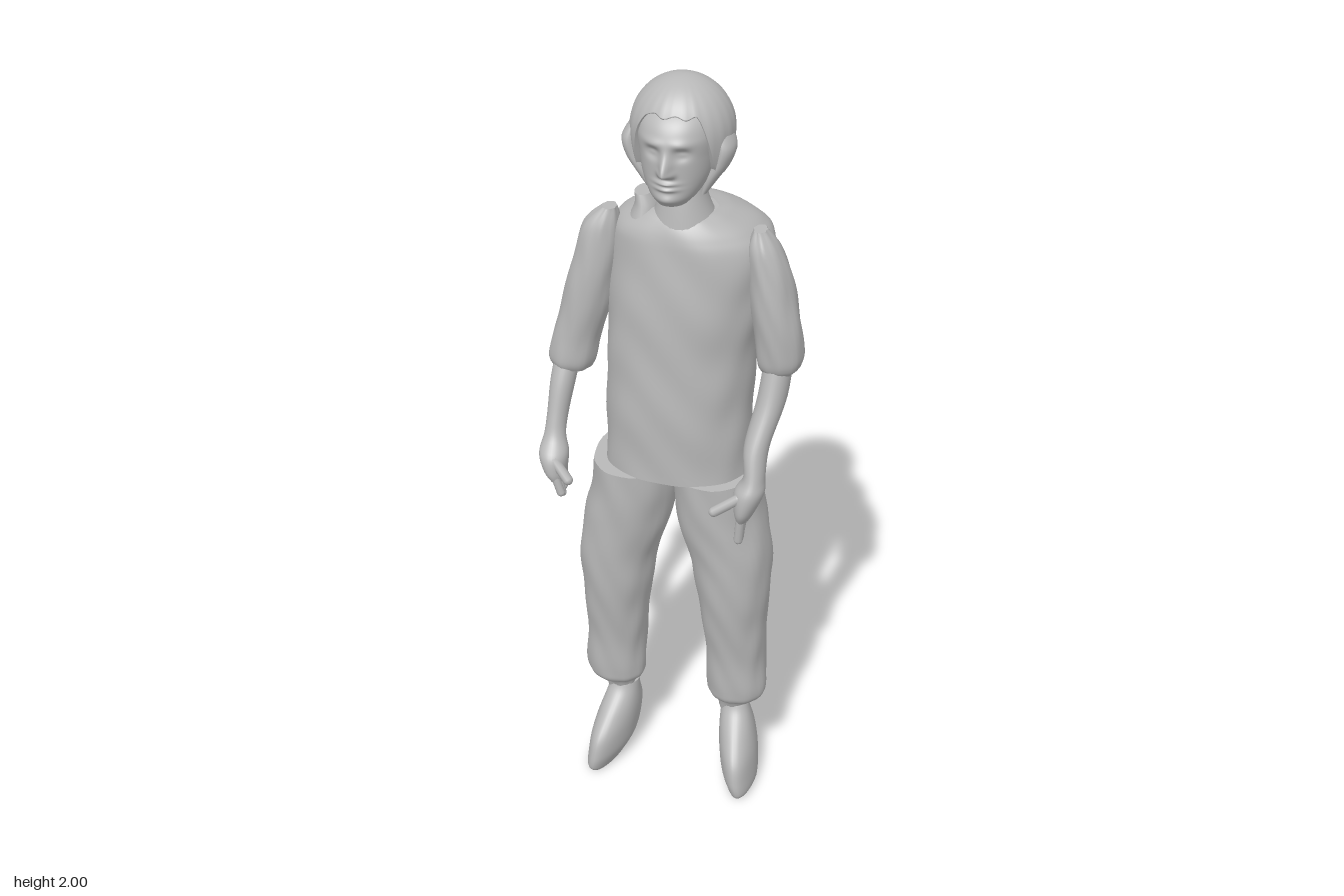
import * as THREE from 'three';

const clay = new THREE.MeshStandardMaterial({ color: 0xb8b8b8, side: THREE.DoubleSide });
clay.name = 'plain grey';

// Catmull-Rom blend of neighbouring section rows
function rowAt(rows, u) {
  const n = rows.length - 1, i = Math.min(Math.floor(u * n), n - 1), f = u * n - i;
  const [a, b, c, d] = [i - 1, i, i + 1, i + 2].map(k => rows[Math.max(0, Math.min(n, k))]);
  return b.map((q, k) => q + 0.5 * f * (c[k] - a[k] +
    f * (2 * a[k] - 5 * q + 4 * c[k] - d[k] + f * (3 * (q - c[k]) + d[k] - a[k]))));
}

// Grid of points closed around, open along; optional flat caps
function skin(name, steps, seg, point, caps) {
  const pos = [], idx = [];
  for (let i = 0; i <= steps; i++)
    for (let j = 0; j < seg; j++) pos.push(...point(i / steps, j / seg * Math.PI * 2));
  for (let i = 0; i < steps; i++)
    for (let j = 0; j < seg; j++) {
      const k = (j + 1) % seg, a = i * seg + j, b = a + seg, c = (i + 1) * seg + k, d = i * seg + k;
      idx.push(a, b, c, a, c, d);
    }
  if (caps) for (const end of [0, 1]) {
    const base = pos.length / 3, mid = [0, 0, 0];
    for (let j = 0; j < seg; j++) {
      const p = point(end, j / seg * Math.PI * 2);
      pos.push(...p);
      p.forEach((q, k) => { mid[k] += q / seg; });
    }
    pos.push(...mid);
    for (let j = 0; j < seg; j++) {
      const a = base + j, b = base + (j + 1) % seg;
      idx.push(base + seg, end ? b : a, end ? a : b);
    }
  }
  const g = new THREE.BufferGeometry();
  g.setAttribute('position', new THREE.Float32BufferAttribute(pos, 3));
  g.setIndex(idx);
  g.computeVertexNormals();
  const mesh = new THREE.Mesh(g, clay);
  mesh.name = name;
  return mesh;
}

// Loft from rows of [y, xMin, xMax, zMin, zMax], listed top to bottom
function loft(name, rows, { steps = 32, seg = 32, power = 1, warp } = {}) {
  const bend = v => Math.sign(v) * Math.abs(v) ** power;
  return skin(name, steps, seg, (u, t) => {
    const [y, x0, x1, z0, z1] = rowAt(rows, u);
    const p = [(x0 + x1) / 2 + bend(Math.sin(t)) * (x1 - x0) / 2, y,
      (z0 + z1) / 2 + bend(Math.cos(t)) * (z1 - z0) / 2];
    return warp ? warp(p, t) : p;
  }, true);
}

const mirror = (rows, dx = 0) => rows.map(([y, a, b, c, d]) => [y, dx - b, dx - a, c, d]);

// Soft folds in the cloth
const folds = ([x, y, z], t) => {
  const w = 0.0025 * Math.sin(y * 31 + 2 * Math.sin(t * 3)) * Math.sin(t * 4 + y * 9);
  return [x + w * Math.sin(t), y, z + w * Math.cos(t)];
};

function digit(name, from, to, r) {
  const a = new THREE.Vector3(...from), b = new THREE.Vector3(...to), d = b.clone().sub(a);
  const m = new THREE.Mesh(new THREE.CapsuleGeometry(r, d.length() - r, 5, 10), clay);
  m.position.copy(a).add(b).multiplyScalar(0.5);
  m.quaternion.setFromUnitVectors(new THREE.Vector3(0, 1, 0), d.normalize());
  m.name = name;
  return m;
}

const bump = (v, c, w) => Math.exp(-(((v - c) / w) ** 2));

// Nose, eye sockets, lips and chin pushed out of the head surface
function face([x, y, z]) {
  const s = Math.abs(x - 0.02), front = THREE.MathUtils.smoothstep(z, 0.08, 0.13);
  const noseLine = y > 1.817 ? bump(y, 1.817, 0.036) : bump(y, 1.817, 0.012);
  const push = 0.036 * noseLine * bump(s, 0, 0.013)
    + 0.008 * bump(y, 1.811, 0.009) * bump(s, 0.014, 0.008)
    - 0.014 * bump(y, 1.857, 0.013) * bump(s, 0.034, 0.017)
    + 0.006 * bump(y, 1.856, 0.007) * bump(s, 0.034, 0.012)
    + 0.005 * bump(y, 1.881, 0.01) * bump(s, 0.032, 0.024)
    + 0.011 * (bump(y, 1.788, 0.006) + bump(y, 1.774, 0.006)) * bump(s, 0, 0.024)
    + 0.008 * bump(y, 1.745, 0.013) * bump(s, 0, 0.025);
  return [x, y, z + push * front];
}

// Hair cap: each column falls from the crown to a hairline set by its angle
function hairCap() {
  return skin('hair', 30, 96, (u, t) => {
    const a = Math.abs(t > Math.PI ? t - 2 * Math.PI : t);
    const side = THREE.MathUtils.smoothstep(a, 0.55, 1.1), back = THREE.MathUtils.smoothstep(a, 1.7, 2.4);
    const line = 1.935 - 0.15 * side - 0.01 * back + 0.004 * Math.sin(t * 13);
    const v = Math.min(1, u / 0.95), y = 2 - (2 - line) * v * v;
    const h = (y - 1.875) / 0.125;
    let r = h > 0 ? Math.sqrt(Math.max(0, 1 - h * h)) : 1 - 0.22 * h * h;
    r *= 1 + 0.006 * Math.sin(t * 24) * v;
    if (u > 0.97) r *= 0.82;
    return [0.02 + 0.122 * r * Math.sin(t), y, 0.02 + (Math.cos(t) > 0 ? 0.128 : 0.107) * r * Math.cos(t)];
  });
}

export function createModel() {
  const model = new THREE.Group();
  model.name = 'standing figure';

  // Head and neck
  model.add(loft('head', [[1.975, -0.01, 0.05, -0.02, 0.05], [1.935, -0.06, 0.1, -0.06, 0.126],
    [1.89, -0.074, 0.114, -0.075, 0.157], [1.84, -0.07, 0.11, -0.07, 0.158], [1.79, -0.06, 0.1, -0.045, 0.157],
    [1.75, -0.04, 0.08, -0.005, 0.157], [1.726, -0.018, 0.058, 0.04, 0.145]],
  { steps: 100, seg: 128, power: 0.93, warp: face }));
  model.add(loft('neck', [[1.81, -0.035, 0.075, -0.055, 0.06], [1.72, -0.033, 0.078, -0.033, 0.085],
    [1.64, -0.055, 0.105, -0.06, 0.1]]));
  model.add(hairCap());
  const tuft = [[1.89, 0.105, 0.13, 0, 0.07], [1.85, 0.108, 0.152, 0.0, 0.085], [1.81, 0.1, 0.142, 0.015, 0.085],
    [1.77, 0.085, 0.115, 0.035, 0.08], [1.73, 0.075, 0.088, 0.045, 0.07]];
  model.add(loft('leftSideHair', tuft, { seg: 16 }));
  model.add(loft('rightSideHair', mirror(tuft, 0.035), { seg: 16 }));

  // Shirt with a raised collar on one side
  model.add(loft('shirt', [[1.668, -0.06, 0.1, -0.06, 0.075], [1.655, -0.095, 0.135, -0.12, 0.092],
    [1.62, -0.15, 0.195, -0.175, 0.108], [1.57, -0.168, 0.225, -0.197, 0.117], [1.45, -0.172, 0.215, -0.182, 0.128],
    [1.32, -0.175, 0.195, -0.172, 0.135], [1.15, -0.178, 0.187, -0.163, 0.14], [0.965, -0.18, 0.19, -0.15, 0.14]],
  { steps: 60, seg: 64, power: 0.93, warp: folds }));
  model.add(loft('collar', [[1.698, -0.098, -0.055, -0.02, 0.05], [1.67, -0.098, -0.04, -0.04, 0.06],
    [1.64, -0.11, -0.03, -0.06, 0.07]], { steps: 10, seg: 20 }));

  // Trousers and shoes
  const leg = [[0.966, -0.208, 0, -0.148, 0.14], [0.88, -0.218, 0, -0.135, 0.136], [0.8, -0.236, -0.012, -0.12, 0.131],
    [0.7, -0.25, -0.046, -0.097, 0.127], [0.6, -0.247, -0.062, -0.086, 0.118], [0.5, -0.243, -0.075, -0.077, 0.105],
    [0.4, -0.24, -0.085, -0.07, 0.092], [0.3, -0.245, -0.088, -0.062, 0.083], [0.265, -0.235, -0.092, -0.057, 0.075],
    [0.24, -0.205, -0.112, -0.035, 0.045], [0.2, -0.192, -0.118, -0.028, 0.03]];
  const shoe = [[0.225, -0.19, -0.115, -0.035, 0.035], [0.2, -0.194, -0.114, -0.046, 0.05],
    [0.15, -0.207, -0.112, -0.075, 0.1], [0.1, -0.217, -0.115, -0.087, 0.143], [0.05, -0.222, -0.122, -0.077, 0.157],
    [0.015, -0.222, -0.138, -0.055, 0.156], [0, -0.214, -0.146, -0.045, 0.145]];
  for (const [side, s] of [['right', -1], ['left', 1]]) {
    const pick = (rows, dx) => (s < 0 ? rows : mirror(rows, dx));
    model.add(loft(side + 'TrouserLeg', pick(leg, 0.002), { steps: 70, seg: 40, power: 0.93, warp: folds }));
    // toes turn outward and taper
    model.add(loft(side + 'Shoe', pick(shoe, 0.014), { steps: 40, warp: ([x, y, z]) => {
      const mid = s * 0.17 + (s > 0 ? 0.014 : 0), taper = z > 0.05 ? 1 - (z - 0.05) * 1.5 : 1;
      return [mid + (x - mid) * taper + s * 0.13 * (z - 0.03), y, z];
    } }));
  }

  // Sleeves
  model.add(loft('rightSleeve', [[1.648, -0.178, -0.142, 0.0, 0.045], [1.6, -0.224, -0.135, -0.025, 0.07],
    [1.5, -0.255, -0.14, -0.042, 0.082], [1.4, -0.28, -0.16, -0.045, 0.085], [1.3, -0.306, -0.188, -0.042, 0.087],
    [1.235, -0.32, -0.202, -0.035, 0.088], [1.21, -0.31, -0.212, -0.022, 0.078]], { steps: 44, warp: folds }));
  model.add(loft('leftSleeve', [[1.638, 0.193, 0.225, 0, 0.047], [1.59, 0.182, 0.258, -0.025, 0.07],
    [1.5, 0.184, 0.29, -0.04, 0.08], [1.4, 0.195, 0.31, -0.042, 0.081], [1.32, 0.203, 0.32, -0.042, 0.077],
    [1.285, 0.21, 0.313, -0.036, 0.07], [1.265, 0.222, 0.296, -0.02, 0.055]], { steps: 44, warp: folds }));

  // Forearms running into the palms
  model.add(loft('rightForearm', [[1.25, -0.3, -0.235, -0.005, 0.07], [1.18, -0.307, -0.245, 0.02, 0.1],
    [1.1, -0.308, -0.256, 0.055, 0.125], [1.05, -0.31, -0.256, 0.085, 0.145], [1.01, -0.316, -0.243, 0.092, 0.18],
    [0.97, -0.302, -0.245, 0.1, 0.187], [0.945, -0.285, -0.247, 0.105, 0.18]]));
  model.add(loft('leftForearm', [[1.3, 0.225, 0.295, -0.02, 0.06], [1.2, 0.215, 0.286, -0.012, 0.094],
    [1.1, 0.2, 0.262, 0.055, 0.145], [1.03, 0.208, 0.26, 0.092, 0.172], [0.99, 0.188, 0.262, 0.094, 0.19],
    [0.94, 0.188, 0.243, 0.085, 0.19], [0.91, 0.192, 0.228, 0.09, 0.175]]));

  // Fingers and thumbs
  for (let i = 0; i < 4; i++) {
    const drop = [0.012, 0, 0.006, 0.03][i];
    model.add(digit('rightFinger', [-0.268, 0.965, 0.172 - i * 0.019], [-0.25 - i * 0.004, 0.898 + drop, 0.172 - i * 0.02], 0.0105));
    model.add(digit('leftFinger', [0.21, 0.93, 0.165 - i * 0.021], [0.203 - i * 0.005, 0.836 + drop, 0.16 - i * 0.028], 0.0115));
  }
  model.add(digit('rightThumb', [-0.275, 1.01, 0.165], [-0.226, 0.955, 0.18], 0.013));
  model.add(digit('leftThumb', [0.21, 0.985, 0.172], [0.142, 0.938, 0.186], 0.013));
  return model;
}
